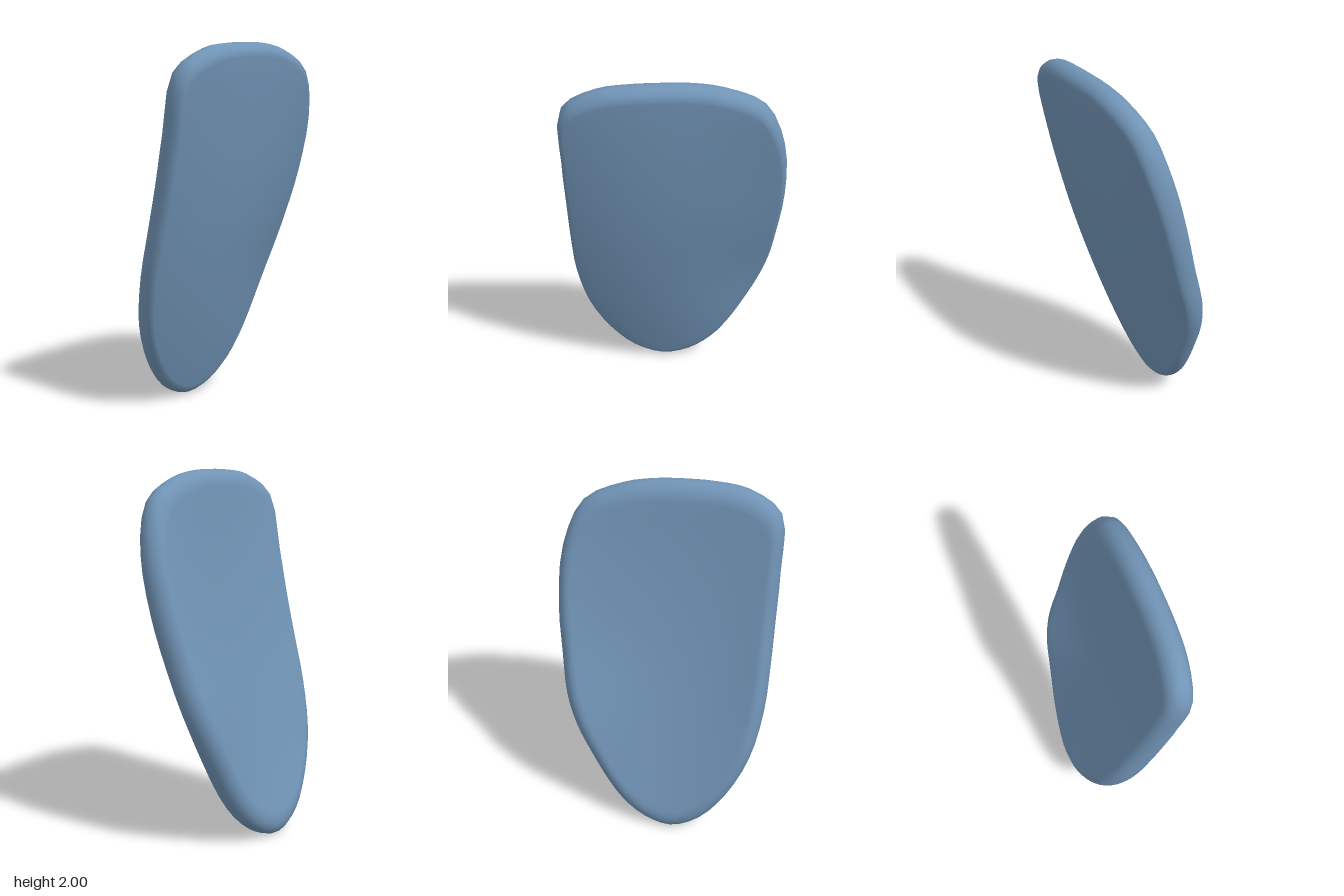
import * as THREE from 'three';
import { mergeVertices } from 'three/addons/utils/BufferGeometryUtils.js';

// Outline, clockwise from the top as seen from the front
const OUTLINE = [
  [-0.02, 2.0], [0.13, 1.995], [0.285, 1.965], [0.475, 1.865], [0.558, 1.62], [0.548, 1.3],
  [0.495, 1.02], [0.445, 0.81], [0.375, 0.62], [0.295, 0.45], [0.21, 0.29], [0.11, 0.15],
  [-0.02, 0.045], [-0.17, 0.005], [-0.325, 0.078], [-0.45, 0.245], [-0.54, 0.48], [-0.57, 0.755],
  [-0.56, 1.02], [-0.545, 1.27], [-0.53, 1.55], [-0.495, 1.86], [-0.32, 1.97], [-0.165, 1.995],
];
const HALF_THICKNESS = 0.074;
// Share of the radius taken by the rounded edge
const FRONT_ROUND = 0.07;
const BACK_ROUND = 0.1;
const SEGMENTS = 72;

// Depth of the dished, tilted and slightly twisted middle surface
function depth(x, y) {
  const h = y - 1;
  const sag = 0.035 * Math.exp(-((x - 0.42) ** 2 + (h + 0.35) ** 2) / 0.12);
  return 0.015 - 0.412 * x + 0.256 * h - 0.305 * x * x + 0.03 * x * h - 0.074 * h * h
    - 0.02 * x * h * h + 0.25 * x * x * h + 0.2 * x * x * x * h - sag;
}

function surfaceNormal(x, y) {
  const s = 0.01;
  return new THREE.Vector3(
    (depth(x - s, y) - depth(x + s, y)) / (2 * s),
    (depth(x, y - s) - depth(x, y + s)) / (2 * s),
    1,
  ).normalize();
}

function plateGeometry() {
  const curve = new THREE.CatmullRomCurve3(OUTLINE.map(([x, y]) => new THREE.Vector3(x, y, 0)), true);
  const rim = Array.from({ length: SEGMENTS }, (_, i) => curve.getPoint(i / SEGMENTS));
  const centre = new THREE.Vector3(-0.02, 1.02, 0);

  // Section from front centre, round the edge, to back centre: [radius, offset]
  const section = [];
  for (let i = 0; i < 10; i++) section.push([(1 - FRONT_ROUND) * i / 10, 1]);
  for (let i = 0; i <= 12; i++) {
    const a = Math.PI / 2 - Math.PI * i / 12;
    const round = i < 6 ? FRONT_ROUND : BACK_ROUND;
    section.push([1 - round + round * Math.cos(a), Math.sin(a)]);
  }
  for (let i = 9; i >= 0; i--) section.push([(1 - BACK_ROUND) * i / 10, -1]);

  const positions = [], index = [];
  for (const [r, offset] of section) {
    for (const p of rim) {
      const v = new THREE.Vector3().lerpVectors(centre, p, r);
      v.z = depth(v.x, v.y);
      v.addScaledVector(surfaceNormal(v.x, v.y), offset * HALF_THICKNESS);
      positions.push(v.x, v.y, v.z);
    }
  }
  // The first and last rings shrink to a point, so they need one triangle per step
  const last = section.length - 2;
  for (let j = 0; j <= last; j++) {
    for (let i = 0; i < SEGMENTS; i++) {
      const a = j * SEGMENTS + i, b = j * SEGMENTS + (i + 1) % SEGMENTS;
      const c = a + SEGMENTS, d = b + SEGMENTS;
      if (j < last) index.push(a, d, c);
      else index.push(a, b, c);
      if (j > 0 && j < last) index.push(a, b, d);
    }
  }
  let geometry = new THREE.BufferGeometry();
  geometry.setAttribute('position', new THREE.Float32BufferAttribute(positions, 3));
  geometry.setIndex(index);
  geometry = mergeVertices(geometry, 1e-5);
  geometry.computeVertexNormals();
  return geometry;
}

export function createModel() {
  const group = new THREE.Group();
  group.name = 'curvedPlate';
  // One smooth, tilted, shield-shaped plate
  const plate = new THREE.Mesh(plateGeometry(), new THREE.MeshStandardMaterial({ color: 0x7093b5 }));
  plate.name = 'plate';
  group.add(plate);
  return group;
}
